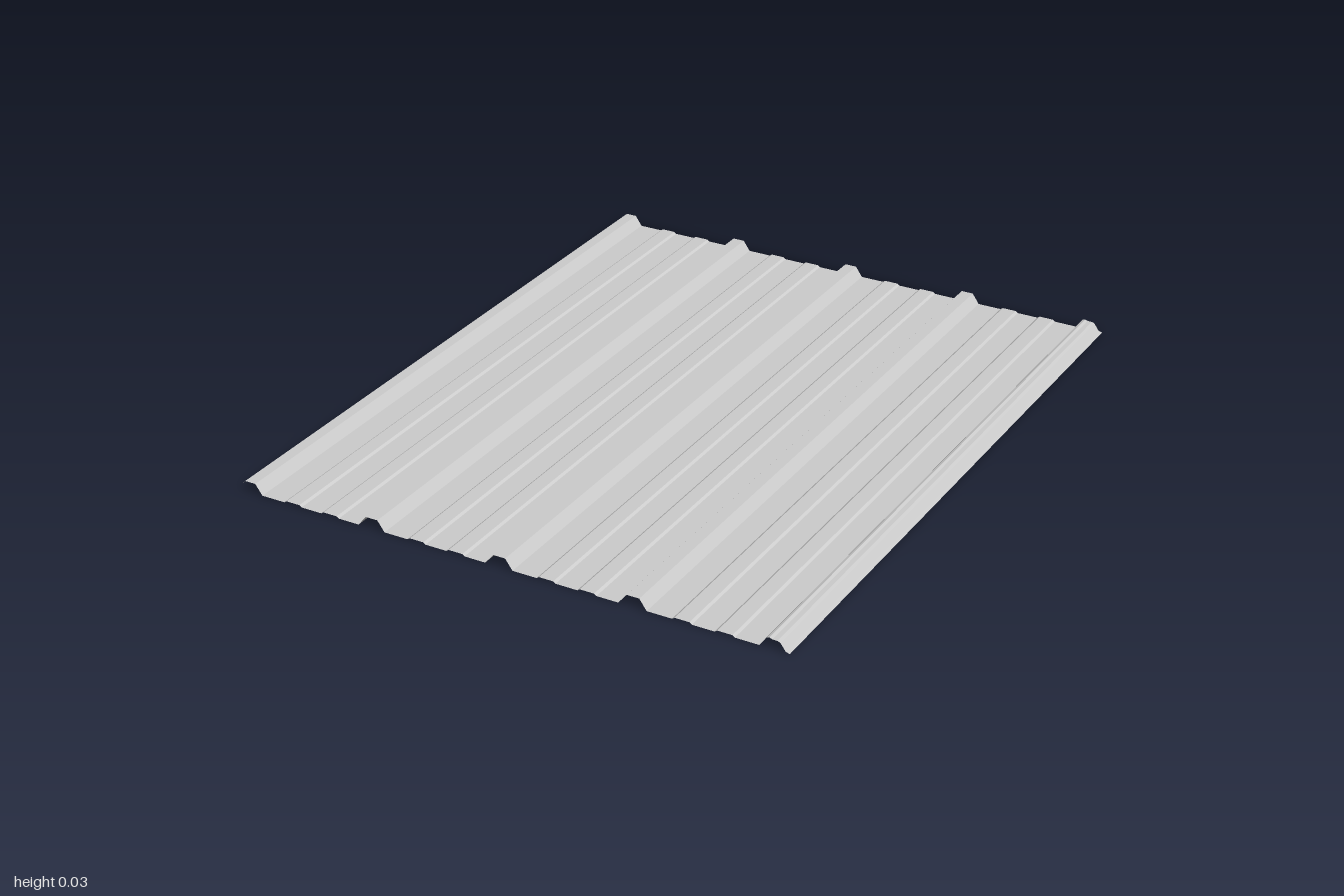
import * as THREE from 'three';

const PITCH = 0.393, FIRST = -0.793, LENGTH = 2, HEIGHT = 0.03, MINOR = 0.005;

// Cross-section of the ribbed sheet, from the right edge of the model to its left
function sheetProfile() {
  const points = [[-0.822, 0.018], [-0.81, HEIGHT]]; // open overlap edge
  for (let i = 0; i < 4; i++) {
    const c = FIRST + i * PITCH;
    if (i > 0) points.push([c - 0.045, 0], [c - 0.02, HEIGHT]);
    points.push([c + 0.016, HEIGHT], [c + 0.037, 0]);
    // two low stiffening ribs in each pan
    for (const m of [c + 0.137, c + 0.257]) {
      points.push([m - 0.028, 0], [m - 0.021, MINOR], [m + 0.021, MINOR], [m + 0.028, 0]);
    }
  }
  // last rib with a shallow drainage groove and a small foot
  points.push([0.738, 0], [0.758, 0.027], [0.766, HEIGHT], [0.774, 0.027],
    [0.788, 0.027], [0.796, 0.024], [0.811, 0.003], [0.822, 0]);
  return points;
}

// Sweep a cross-section straight along z
function sweep(profile, length) {
  const h = length / 2, positions = [];
  for (let i = 0; i < profile.length - 1; i++) {
    const [x0, y0] = profile[i], [x1, y1] = profile[i + 1];
    positions.push(x0, y0, -h, x0, y0, h, x1, y1, h);
    positions.push(x0, y0, -h, x1, y1, h, x1, y1, -h);
  }
  const geometry = new THREE.BufferGeometry();
  geometry.setAttribute('position', new THREE.Float32BufferAttribute(positions, 3));
  geometry.computeVertexNormals();
  return geometry;
}

export function createModel() {
  const group = new THREE.Group();
  group.name = 'roofingPanel';
  const material = new THREE.MeshStandardMaterial({
    color: 0xcccccc, flatShading: true, side: THREE.DoubleSide,
  });
  const sheet = new THREE.Mesh(sweep(sheetProfile(), LENGTH), material);
  sheet.name = 'ribbedSheet';
  group.add(sheet);
  return group;
}
